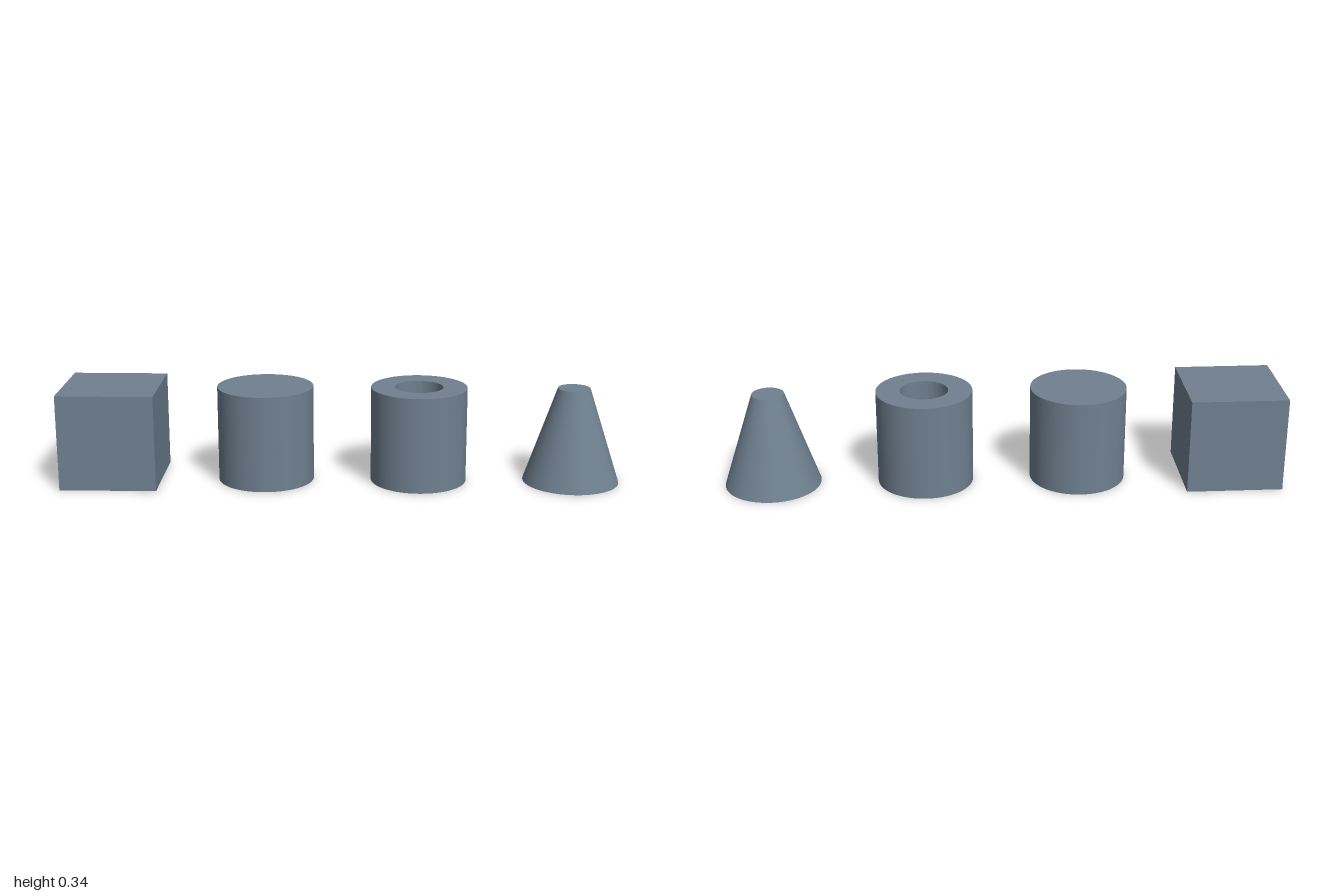
import * as THREE from 'three';
import { toCreasedNormals } from 'three/addons/utils/BufferGeometryUtils.js';

const SIZE = 2 / 5.8; // width and height of every solid
const STEP = SIZE * 1.6; // distance between centres
const R = SIZE / 2;
const SEGMENTS = 64;

// Upright tube with a through hole and sharp rims
function tubeGeometry(outer, inner, height) {
  const h = height / 2;
  const profile = [[outer, -h], [outer, h], [inner, h], [inner, -h], [outer, -h]]
    .map(([x, y]) => new THREE.Vector2(x, y));
  return toCreasedNormals(new THREE.LatheGeometry(profile, SEGMENTS), Math.PI / 6);
}

export function createModel() {
  const group = new THREE.Group();
  group.name = 'primitiveSolids';
  const slate = new THREE.MeshStandardMaterial({ color: 0x708090 });
  slate.name = 'slate grey';

  // Four solids in a row, from the model's right to its left
  const solids = [
    ['cube', new THREE.BoxGeometry(SIZE, SIZE, SIZE)],
    ['cylinder', new THREE.CylinderGeometry(R, R, SIZE, SEGMENTS)],
    ['tube', tubeGeometry(R, R / 2, SIZE)],
    ['truncatedCone', new THREE.CylinderGeometry(R / 3, R, SIZE, SEGMENTS)],
  ];
  solids.forEach(([name, geometry], i) => {
    const mesh = new THREE.Mesh(geometry, slate);
    mesh.name = name;
    mesh.position.set((i - 1.5) * STEP, R, 0);
    group.add(mesh);
  });
  return group;
}
